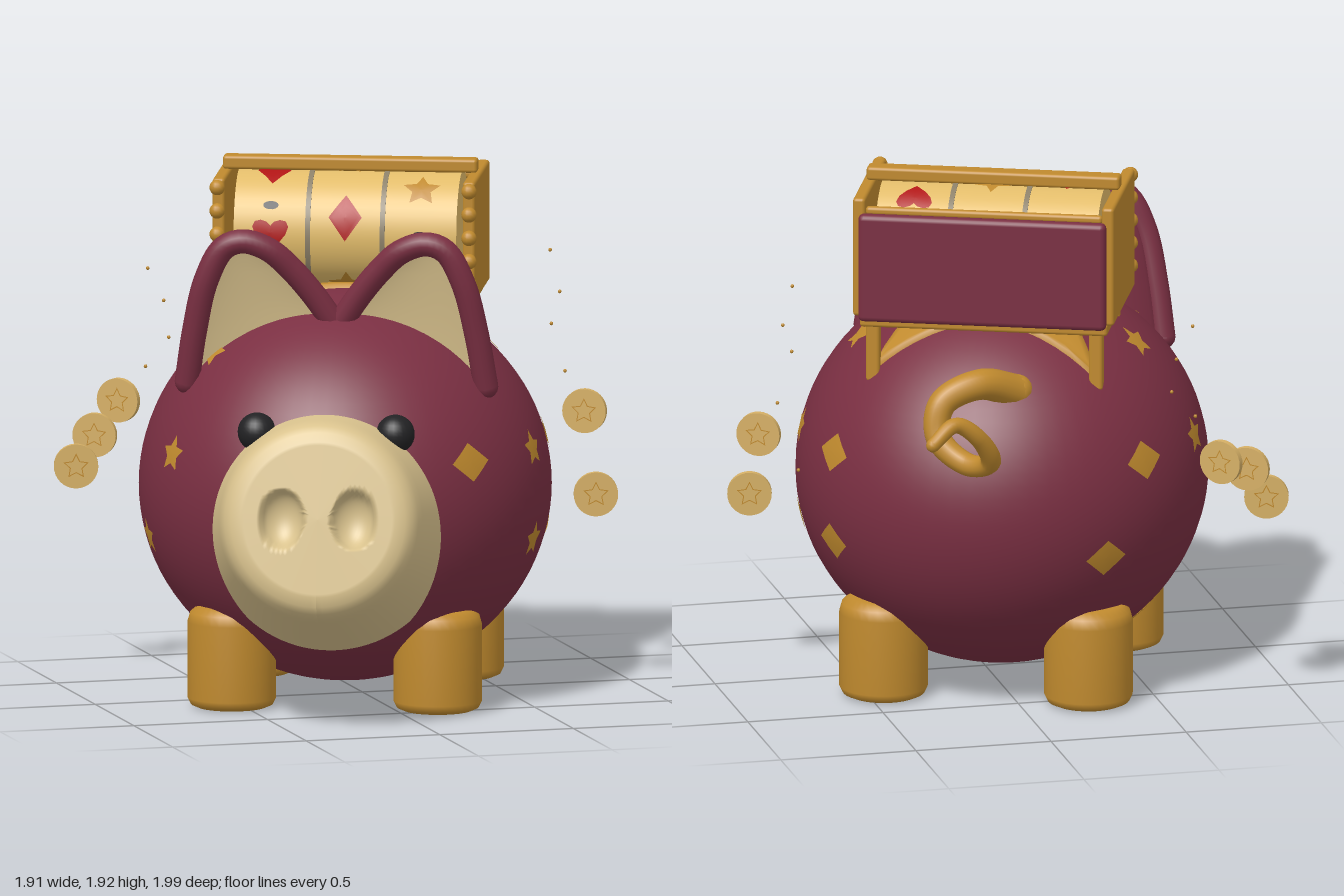
import * as THREE from 'three';
import { RoundedBoxGeometry } from 'three/addons/geometries/RoundedBoxGeometry.js';
import { ParametricGeometry } from 'three/addons/geometries/ParametricGeometry.js';

const V = (x, y, z) => new THREE.Vector3(x, y, z);
const mat = (name, color) => new THREE.MeshStandardMaterial({ name, color, side: THREE.DoubleSide });
const burgundy = mat('burgundy', 0x7a2f42), gold = mat('gold', 0xc08a2e), cream = mat('cream', 0xdac38e);
const reelCream = mat('reelCream', 0xe2bc6a), coinGold = mat('coinGold', 0xd6b066), red = mat('red', 0xb01414);
const black = mat('black', 0x222224), grey = mat('grey', 0x8c8068);

// Body ellipsoid
const CY = 0.76, RX = 0.742, RY = 0.708, RZ = 0.797;

function add(parent, name, geometry, material, x = 0, y = 0, z = 0) {
  const m = new THREE.Mesh(geometry, material);
  m.name = name;
  m.position.set(x, y, z);
  parent.add(m);
  return m;
}
const box = (w, h, d, r = 0.012) => new RoundedBoxGeometry(w, h, d, 2, r);

// Flat star-shaped outlines
function star(r, inner = 0.5) {
  return Array.from({ length: 10 }, (_, i) => {
    const a = Math.PI / 2 + i * Math.PI / 5, q = i % 2 ? r * inner : r;
    return new THREE.Vector2(Math.cos(a) * q, Math.sin(a) * q);
  });
}
const diamond = (w, h) => [[w, 0], [w / 2, h / 2], [0, h], [-w / 2, h / 2], [-w, 0], [-w / 2, -h / 2], [0, -h], [w / 2, -h / 2]]
  .map(p => new THREE.Vector2(...p));
const heart = r => Array.from({ length: 20 }, (_, i) => {
  const t = i / 20 * Math.PI * 2;
  return new THREE.Vector2(r * Math.sin(t) ** 3, r * (0.8 * Math.cos(t) - 0.33 * Math.cos(2 * t) - 0.13 * Math.cos(3 * t)));
});
const oval = (w, h) => Array.from({ length: 14 }, (_, i) =>
  new THREE.Vector2(w * Math.cos(i / 7 * Math.PI), h * Math.sin(i / 7 * Math.PI)));

// Lays an outline on a curved surface as concentric rings; map(px, py, edge) gives the point
function decal(outline, rings, map) {
  const n = outline.length, pos = [], idx = [];
  for (let r = 0; r <= rings; r++) for (const p of outline) {
    const k = r / rings;
    pos.push(...map(p.x * k, p.y * k, r === rings).toArray());
  }
  for (let r = 0; r < rings; r++) for (let i = 0; i < n; i++) {
    const a = r * n + i, b = r * n + (i + 1) % n;
    if (r) idx.push(a, b, a + n);
    idx.push(b, b + n, a + n);
  }
  const g = new THREE.BufferGeometry();
  g.setAttribute('position', new THREE.Float32BufferAttribute(pos, 3));
  g.setIndex(idx);
  g.computeVertexNormals();
  return g;
}

// Snout turned on a lathe, with two dents for the nostrils
function snoutGeometry() {
  const prof = [[0.445, 0], [0.42, 0.12], [0.395, 0.25], [0.368, 0.37], [0.357, 0.42], [0.34, 0.455], [0.315, 0.477]]
    .map(p => new THREE.Vector2(...p));
  for (let i = 0; i <= 24; i++) prof.push(new THREE.Vector2(0.28 * (1 - i / 24), 0.487 + 0.006 * i / 24));
  const g = new THREE.LatheGeometry(prof, 96);
  g.rotateX(Math.PI / 2);
  const p = g.attributes.position;
  for (let i = 0; i < p.count; i++) {
    if (p.getZ(i) < 0.486) continue;
    const e = Math.hypot((Math.abs(p.getX(i)) - 0.13) / 0.08, p.getY(i) / 0.105);
    if (e < 1) p.setZ(i, p.getZ(i) - 0.075 * Math.sqrt(1 - e * e));
  }
  g.computeVertexNormals();
  return g;
}

// One ear: rim tube, rounded back and hollow lining
function ear(parent, s) {
  const g = new THREE.Group();
  g.name = s > 0 ? 'leftEar' : 'rightEar';
  parent.add(g);
  const pts = a => new THREE.CatmullRomCurve3(a.map(p => V(p[0] * s, p[1], p[2])));
  const outer = [[0.54, 1.17, 0.31], [0.51, 1.36, 0.34], [0.465, 1.55, 0.37], [0.40, 1.67, 0.38], [0.33, 1.695, 0.38]];
  const inner = [[0.02, 1.40, 0.29], [0.08, 1.49, 0.31], [0.16, 1.59, 0.34], [0.24, 1.665, 0.37], [0.33, 1.695, 0.38]];
  const rim = pts([...outer, ...inner.slice(0, -1).reverse()]);
  add(g, 'earRim', new THREE.TubeGeometry(rim, 48, 0.045, 12), burgundy);
  const end = rim.getPoint(0);
  add(g, 'earRimEnd', new THREE.SphereGeometry(0.045, 12, 8), burgundy, end.x, end.y, end.z);
  const a = pts(outer), b = pts(inner);
  const shell = depth => new ParametricGeometry((u, v, out) => {
    out.lerpVectors(a.getPoint(v), b.getPoint(v), u);
    out.z -= depth * Math.sqrt(Math.max(0, Math.sin(Math.PI * u))) * (1 - v ** 3);
  }, 16, 16);
  add(g, 'earBack', shell(0.13), burgundy);
  add(g, 'earLining', shell(0.04), cream);
}

// Slot machine on the back: reels between side panels
function machine(parent) {
  const g = new THREE.Group();
  g.name = 'reelMachine';
  g.position.z = -0.205;
  parent.add(g);
  const RY0 = 1.65, R = 0.22;
  for (const s of [-1, 1]) {
    add(g, 'sidePanel', box(0.045, 0.44, 0.53), gold, s * 0.452, 1.65, 0);
    for (let i = 0; i < 5; i++) add(g, 'bead', new THREE.SphereGeometry(0.028, 14, 10), gold, s * 0.455, 1.5 + i * 0.085, 0.283);
    for (const z of [-0.22, 0.2]) add(g, 'post', box(0.05, 0.4, 0.05), gold, s * 0.405, 1.38, z);
    add(g, 'reelDivider', new THREE.CylinderGeometry(R + 0.004, R + 0.004, 0.018, 48).rotateZ(Math.PI / 2), grey, s * 0.135, RY0, 0);
  }
  add(g, 'backPanel', box(0.9, 0.4, 0.05, 0.02), burgundy, 0, 1.62, -0.285);
  add(g, 'backRail', box(0.86, 0.03, 0.03), gold, 0, 1.82, -0.235);
  add(g, 'topPlank', box(0.92, 0.05, 0.07), gold, 0, 1.893, 0.01);
  add(g, 'tray', box(0.9, 0.045, 0.53), gold, 0, 1.412, 0);
  for (let k = -1; k <= 1; k++) {
    add(g, 'reel', new THREE.CylinderGeometry(R, R, 0.265, 48).rotateZ(Math.PI / 2), reelCream, k * 0.27, RY0, 0);
    for (let j = 0; j < 5; j++) {
      const a0 = [5, 20, 50][k + 1] * Math.PI / 180 + j * Math.PI * 0.4;
      const put = (o, m, name, a) => add(g, name, decal(o, 4, (x, y) => {
        const t = a + y / R;
        return V(k * 0.27 + x, RY0 + Math.sin(t) * (R + 0.004), Math.cos(t) * (R + 0.004));
      }), m);
      const kind = (j + k + 1) % 3;
      if (kind === 0) {
        put(heart(0.065), red, 'heartSymbol', a0);
        put(oval(0.028, 0.016), black, 'darkSymbol', a0 + 0.45);
      } else if (kind === 1) put(diamond(0.06, 0.085), red, 'diamondSymbol', a0);
      else put(star(0.07), gold, 'starSymbol', a0);
    }
  }
}

// Coin with a star outline on both faces
function coin(parent, x, y, z, yaw) {
  const g = new THREE.Group();
  g.name = 'coin';
  g.position.set(x, y, z);
  g.rotation.y = yaw;
  parent.add(g);
  add(g, 'coinDisc', new THREE.CylinderGeometry(0.08, 0.08, 0.024, 32).rotateX(Math.PI / 2), coinGold);
  const outline = new THREE.Shape(star(0.048));
  outline.holes.push(new THREE.Path(star(0.04)));
  for (const s of [-1, 1]) add(g, 'coinStar', new THREE.ShapeGeometry(outline), gold, 0, 0, s * 0.0135);
}

export function createModel() {
  const model = new THREE.Group();
  model.name = 'piggyBank';
  const pig = new THREE.Group();
  pig.name = 'pig';
  pig.position.set(-0.055, 0, -0.03);
  pig.rotation.y = -0.384;
  model.add(pig);

  add(pig, 'body', new THREE.SphereGeometry(1, 64, 48).scale(RX, RY, RZ), burgundy, 0, CY, 0);
  add(pig, 'snout', snoutGeometry(), cream, 0, 0.68, 0.5).rotation.x = -0.21;
  for (const s of [-1, 1]) {
    add(pig, 'eye', new THREE.SphereGeometry(0.07, 24, 16), black, s * 0.25, 1.05, 0.675);
    ear(pig, s);
    for (const z of [0.37, -0.4]) {
      const prof = [[0, 0], [0.125, 0], [0.148, 0.01], [0.16, 0.035], [0.16, 0.31], [0.15, 0.345], [0.12, 0.37], [0, 0.37]];
      add(pig, z > 0 ? 'frontLeg' : 'backLeg', new THREE.LatheGeometry(prof.map(p => new THREE.Vector2(...p)), 32), gold, s * 0.372, 0, z);
    }
  }

  // Body spots: [heading in degrees, height, kind]
  const spots = [[67, 0.93, 'd'], [37, 0.93, 's'], [9, 0.93, 's'], [-20, 0.93, 'd'], [37, 0.6, 's'], [9, 0.6, 'd'], [-20, 0.6, 'd'],
    [44, 1.27, 's'], [5, 1.27, 's'], [5, 0.25, 'd'], [-108, 0.6, 'd'], [-122, 0.93, 'd'], [-150, 0.93, 's'], [-178, 0.6, 's'],
    [165, 0.93, 's'], [-147, 1.27, 's'], [172, 1.27, 's'], [-147, 0.25, 'd']];
  for (const [deg, h, kind] of spots) {
    const a = (deg - 22) * Math.PI / 180, k0 = Math.sqrt(1 - ((h - CY) / RY) ** 2);
    add(pig, 'bodySpot', decal(kind === 's' ? star(0.068) : diamond(0.085, 0.07), 4, (x, y) => {
      const yy = (h - CY + y * k0) / RY, k = Math.sqrt(1 - yy * yy), t = a - x / (0.77 * k0);
      return V(RX * k * Math.cos(t), yy * RY, RZ * k * Math.sin(t)).multiplyScalar(1.005).add(V(0, CY, 0));
    }), gold);
  }

  // Saddle cloth with four drooping points
  const corners = [[0.43, 0.27], [-0.43, 0.27], [-0.43, -0.25], [0.43, -0.25]], cloth = [];
  corners.forEach((c, i) => {
    const d = corners[(i + 1) % 4];
    for (let j = 0; j < 12; j++) {
      const t = j / 12, q = 1 - 0.3 * Math.sin(Math.PI * t);
      cloth.push(new THREE.Vector2((c[0] + (d[0] - c[0]) * t) * q, (c[1] + (d[1] - c[1]) * t) * q));
    }
  });
  add(pig, 'saddleCloth', decal(cloth, 12, (x, y, edge) => {
    const z = y - 0.19;
    const h = RY * Math.sqrt(1 - (x / RX) ** 2 - (z / RZ) ** 2);
    return V(x, h, z).multiplyScalar(edge ? 0.99 : 1.022).add(V(0, CY, 0));
  }), gold);
  machine(pig);

  // Curled tail, tapering to the tip
  const path = new THREE.CatmullRomCurve3([V(0.03, 1.2, -0.6), V(0.18, 1.25, -0.65), V(0.32, 1.19, -0.66), V(0.34, 1.07, -0.69),
    V(0.25, 0.99, -0.78), V(0.19, 1.02, -0.86), V(0.25, 1.13, -0.92), V(0.34, 1.19, -0.94), V(0.43, 1.13, -0.97)]);
  const N = 80, tail = new THREE.TubeGeometry(path, N, 0.062, 14), tp = tail.attributes.position, v = V(0, 0, 0);
  for (let i = 0; i < tp.count; i++) {
    const t = Math.floor(i / 15) / N, c = path.getPointAt(t);
    v.fromBufferAttribute(tp, i).sub(c).multiplyScalar(1 - 0.6 * t).add(c);
    tp.setXYZ(i, v.x, v.y, v.z);
  }
  add(model, 'tail', tail, gold);
  add(model, 'tailTip', new THREE.SphereGeometry(0.025, 12, 8), gold, 0.43, 1.13, -0.97);
  add(model, 'tailRoot', new THREE.SphereGeometry(0.062, 16, 12), gold, 0.03, 1.2, -0.6);

  // Flying coins and specks
  coin(model, 0.87, 0.965, -0.13, -0.49);
  coin(model, 0.86, 0.69, 0.05, -0.25);
  coin(model, -0.88, 0.76, -0.66, -0.26);
  coin(model, -0.81, 0.87, -0.66, -0.5);
  coin(model, -0.665, 0.96, -0.855, -0.7);
  for (const p of [[0.77, 1.54, -0.23], [0.8, 1.39, -0.21], [0.76, 1.28, -0.18], [0.82, 1.1, -0.21], [0.74, 0.84, -0.2],
    [-0.58, 1.45, -0.77], [-0.52, 1.33, -0.77], [-0.51, 1.2, -0.74], [-0.6, 1.1, -0.73]])
    add(model, 'speck', new THREE.SphereGeometry(0.007, 6, 4), gold, ...p);
  return model;
}
